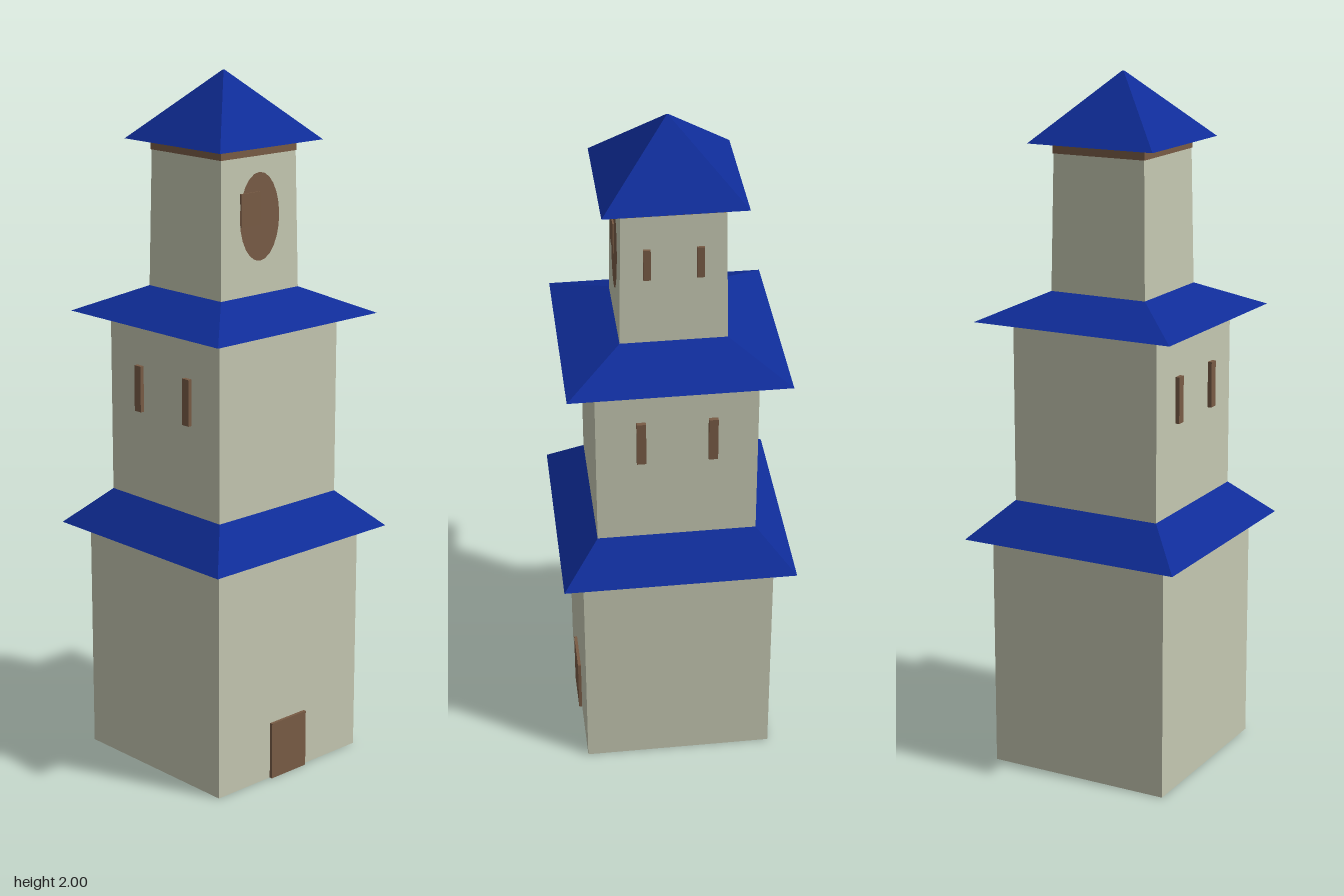
import * as THREE from 'three';

const mat = (color) => new THREE.MeshStandardMaterial({ color, flatShading: true });

export function createModel() {
  const tower = new THREE.Group();
  tower.name = 'tower';
  const wall = mat(0xc4c7b1), blue = mat(0x0f2c98), wood = mat(0x785b45), grey = mat(0xcccccc);

  const add = (name, geometry, material, x = 0, y = 0, z = 0) => {
    const mesh = new THREE.Mesh(geometry, material);
    mesh.name = name;
    mesh.position.set(x, y, z);
    tower.add(mesh);
    return mesh;
  };

  // Square block from y0 to y1, given its half widths at the bottom and top
  const block = (name, y0, y1, bottom, top, material) => {
    const g = new THREE.CylinderGeometry(top * Math.SQRT2, bottom * Math.SQRT2, y1 - y0, 4);
    g.rotateY(Math.PI / 4);
    return add(name, g, material, 0, (y0 + y1) / 2, 0);
  };

  // Three storeys and the wooden band under the top roof
  block('lowerStorey', 0, 0.69, 0.274, 0.274, [wall, wall, grey]);
  block('middleStorey', 0.69, 1.325, 0.226, 0.226, wall);
  block('upperStorey', 1.325, 1.78, 0.149, 0.141, wall);
  block('woodenBand', 1.78, 1.815, 0.143, 0.143, wood);

  // Skirt roofs and the pointed top roof
  block('lowerRoof', 0.688, 0.793, 0.332, 0.226, blue);
  block('middleRoof', 1.32, 1.396, 0.306, 0.146, blue);
  block('topRoof', 1.81, 2, 0.194, 0.002, blue);

  // Slit windows: front and back of the middle storey, back of the upper one
  for (const x of [-0.1, 0.1]) {
    for (const side of [-1, 1]) {
      add('middleWindow', new THREE.BoxGeometry(0.026, 0.133, 0.03), wood, x, 1.118, side * 0.223);
    }
    add('upperWindow', new THREE.BoxGeometry(0.02, 0.092, 0.03), wood, x * 0.72, 1.636, -0.135);
  }

  // Door
  add('door', new THREE.BoxGeometry(0.03, 0.17, 0.136), wood, 0.268, 0.085, 0.006);

  // Oval panel lying on the tapered wall, with a raised pane
  const oval = new THREE.CircleGeometry(1, 24);
  oval.scale(0.075, 0.123, 1);
  oval.rotateY(Math.PI / 2);
  const panel = add('ovalPanel', oval, wood, 0.1448, 1.612, 0);
  panel.rotation.z = Math.atan(0.008 / 0.455);
  add('raisedPane', new THREE.BoxGeometry(0.02, 0.092, 0.072), wood, 0.138, 1.636, 0.036);

  return tower;
}
